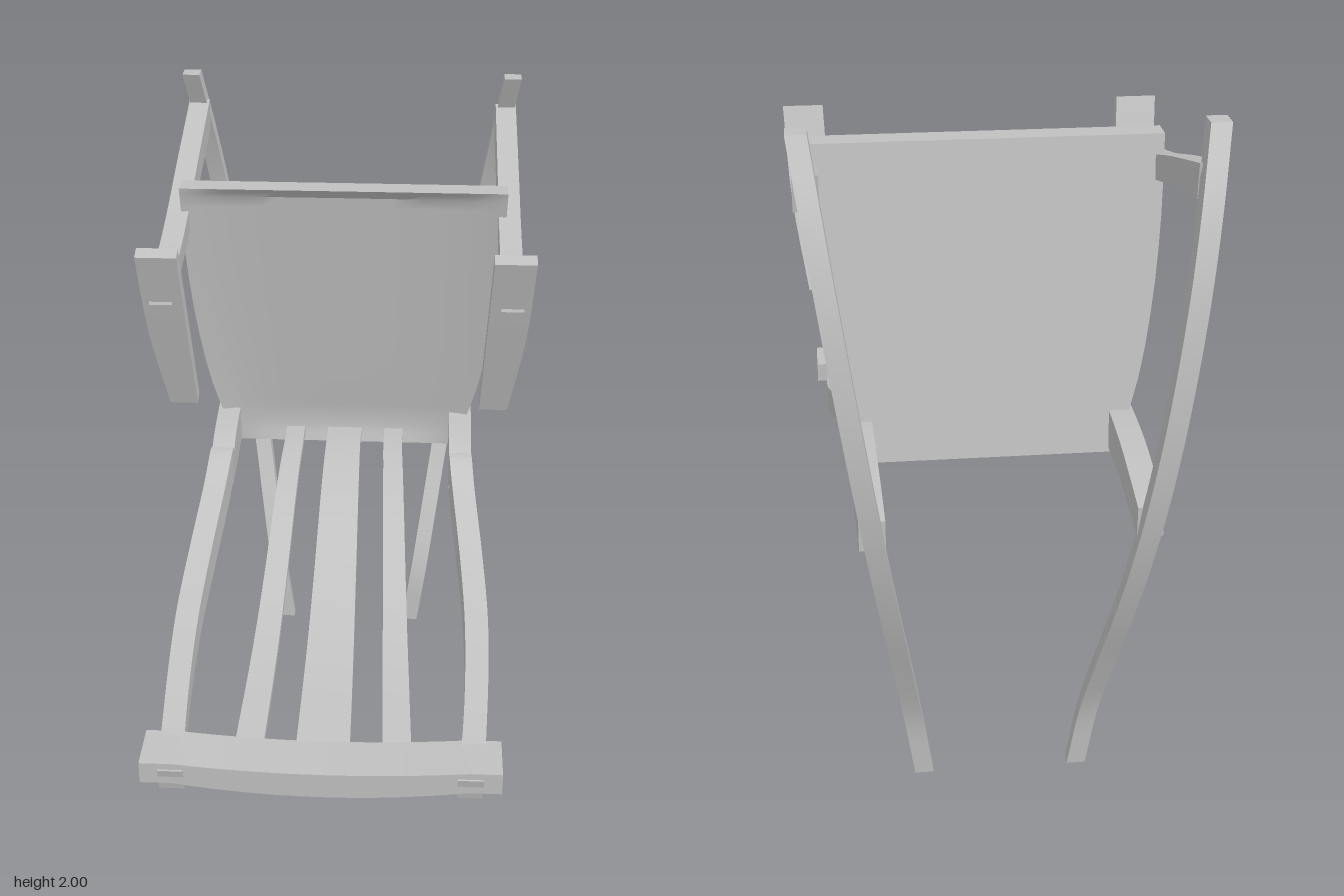
import * as THREE from 'three';
import { toCreasedNormals } from 'three/addons/utils/BufferGeometryUtils.js';

const wood = new THREE.MeshStandardMaterial({ color: 0xc0c0c0 });
wood.name = 'plain grey wood';
const V = (x, y, z) => new THREE.Vector3(x, y, z);

// Closed solid through a list of rings with equal point counts
function loft(rings) {
  const n = rings[0].length, pos = [], idx = [];
  rings.forEach(r => r.forEach(p => pos.push(p.x, p.y, p.z)));
  for (let i = 0; i < rings.length - 1; i++) {
    for (let j = 0; j < n; j++) {
      const a = i * n + j, b = i * n + (j + 1) % n;
      idx.push(a, b, a + n, b, b + n, a + n);
    }
  }
  const last = (rings.length - 1) * n;
  for (let j = 1; j < n - 1; j++) {
    idx.push(0, j + 1, j);
    idx.push(last, last + j, last + j + 1);
  }
  // Turn the faces outward if the enclosed volume is negative
  let volume = 0;
  const p = k => V(pos[3 * k], pos[3 * k + 1], pos[3 * k + 2]);
  for (let k = 0; k < idx.length; k += 3) {
    volume += p(idx[k]).dot(p(idx[k + 1]).cross(p(idx[k + 2])));
  }
  if (volume < 0) idx.reverse();
  const g = new THREE.BufferGeometry();
  g.setAttribute('position', new THREE.Float32BufferAttribute(pos, 3));
  g.setIndex(idx);
  return toCreasedNormals(g, 0.6);
}

// Curved bar of rectangular section; rows: [zA, yA, zB, yB, xInner, xOuter]
function bar(rows, side = 1) {
  const corner = (k, xi) => new THREE.CatmullRomCurve3(
    rows.map(r => V(side * r[xi], r[k + 1], r[k])), false, 'catmullrom');
  const curves = [corner(0, 4), corner(0, 5), corner(2, 5), corner(2, 4)];
  const steps = (rows.length - 1) * 4;
  const rings = [];
  for (let i = 0; i <= steps; i++) rings.push(curves.map(c => c.getPoint(i / steps)));
  return loft(rings);
}

export function createModel() {
  const model = new THREE.Group();
  const add = (name, geometry) => {
    const m = new THREE.Mesh(geometry, wood);
    m.name = name;
    model.add(m);
  };

  // Long bowed rockers, splayed outward with height
  const rocker = [
    [0, -0.665, -0.70], [0.2, -0.68, -0.72], [0.4, -0.745, -0.79],
    [0.6, -0.825, -0.87], [0.8, -0.89, -0.935], [1.0, -0.93, -0.978],
    [1.2, -0.945, -0.995], [1.4, -0.94, -0.988], [1.6, -0.91, -0.96],
    [1.8, -0.85, -0.905], [2.0, -0.765, -0.825],
  ].map(([y, front, back]) => {
    const x = 0.225 + 0.145 * y;
    return [front, y, back, y, x - 0.027, x + 0.027];
  });

  // Bowed stiles beside the slats
  const stile = [
    [0.99, 0.60, 0.975, 0.53, 0.37, 0.44],
    [0.80, 0.63, 0.80, 0.565, 0.385, 0.45],
    [0.60, 0.68, 0.60, 0.60, 0.392, 0.458],
    [0.40, 0.742, 0.40, 0.655, 0.39, 0.458],
    [0.20, 0.825, 0.20, 0.725, 0.375, 0.443],
    [0.00, 0.93, 0.01, 0.825, 0.352, 0.42],
    [-0.11, 0.993, -0.10, 0.89, 0.34, 0.41],
    [-0.15, 0.97, -0.13, 0.885, 0.34, 0.41],
  ];

  // Lower rails from the stiles to the rockers
  const rail = [
    [-0.13, 0.965, -0.10, 0.88, 0.34, 0.41],
    [-0.22, 1.00, -0.22, 0.887, 0.34, 0.41],
    [-0.40, 1.022, -0.40, 0.908, 0.34, 0.41],
    [-0.60, 1.025, -0.60, 0.92, 0.337, 0.408],
    [-0.78, 1.012, -0.78, 0.918, 0.333, 0.404],
    [-0.93, 0.995, -0.93, 0.908, 0.33, 0.40],
  ];

  // Upper rails between the rockers and the end boards
  const upperRail = [
    [-0.83, 1.90, -0.82, 1.805, 0.465, 0.53],
    [-0.50, 1.81, -0.50, 1.73, 0.465, 0.53],
    [-0.235, 1.732, -0.235, 1.662, 0.465, 0.53],
    [-0.02, 1.686, -0.02, 1.627, 0.465, 0.53],
    [0.15, 1.674, 0.17, 1.606, 0.465, 0.53],
  ];

  // Tilted boards that cap the upper rails
  const endBoard = [
    [0.212, 1.765, 0.172, 1.778, 0.44, 0.557],
    [0.135, 1.505, 0.095, 1.518, 0.43, 0.542],
    [0.055, 1.24, 0.012, 1.254, 0.42, 0.502],
  ];

  for (const [side, word] of [[1, 'left'], [-1, 'right']]) {
    add(word + 'Rocker', bar(rocker, side));
    add(word + 'Stile', bar(stile, side));
    add(word + 'LowerRail', bar(rail, side));
    add(word + 'UpperRail', bar(upperRail, side));
    add(word + 'EndBoard', bar(endBoard, side));
  }

  // Three S-curved slats, widening toward the crest
  const slatPath = [
    [0.88, 0.59], [0.6, 0.635], [0.4, 0.69], [0.2, 0.77],
    [0.0, 0.865], [-0.15, 0.922], [-0.26, 0.943], [-0.38, 0.945],
  ];
  const slat = (topIn, topOut, endIn, endOut) => slatPath.map(([z, y]) => {
    const t = THREE.MathUtils.clamp((z + 0.25) / 1.1, 0, 1);
    const a = THREE.MathUtils.lerp(topIn, endIn, t);
    const b = THREE.MathUtils.lerp(topOut, endOut, t);
    return [z, y, z, y - 0.025, a, b];
  });
  add('centreSlat', bar(slat(-0.055, 0.055, -0.075, 0.075)));
  add('leftSlat', bar(slat(0.13, 0.19, 0.165, 0.245)));
  add('rightSlat', bar(slat(0.13, 0.19, 0.165, 0.245), -1));

  // Crest rail with a gently bowed face
  const crest = new THREE.Shape();
  crest.moveTo(-0.49, 0.555);
  crest.lineTo(-0.40, 0.555);
  crest.quadraticCurveTo(0, 0.493, 0.40, 0.555);
  crest.lineTo(0.49, 0.555);
  crest.lineTo(0.49, 0.62);
  crest.lineTo(0.40, 0.62);
  crest.quadraticCurveTo(0, 0.58, -0.40, 0.62);
  crest.lineTo(-0.49, 0.62);
  const crestGeometry = new THREE.ExtrudeGeometry(crest, {
    depth: 0.145, bevelEnabled: false, curveSegments: 16,
  });
  crestGeometry.translate(0, 0, 0.84);
  add('crestRail', toCreasedNormals(crestGeometry, 0.6));

  // Tapered seat panel with a shallow dish in its front
  const outline = new THREE.CatmullRomCurve3([
    V(0.49, 1.81, 0), V(0.483, 1.58, 0), V(0.463, 1.35, 0),
    V(0.425, 1.12, 0), V(0.36, 0.90, 0),
  ]);
  const seatRings = [];
  const rows = [0, 0.015, 0.035, 0.07, 0.15, 0.25, 0.35, 0.45, 0.55, 0.65, 0.75, 0.85, 0.93, 0.97, 1];
  for (const t of rows) {
    const { x, y } = outline.getPoint(t);
    const fade = Math.min(1, t / 0.035) * Math.min(1, (1 - t) / 0.07);
    const ring = [];
    for (let i = 0; i <= 20; i++) {
      const u = i / 10 - 1;
      const dish = 0.026 * fade * (1 - u ** 4);
      ring.push(V(u * x, y, -0.228 - 0.135 * t - dish));
    }
    const back = -0.302 - 0.135 * t;
    ring.push(V(x, y, back), V(-x, y, back));
    seatRings.push(ring);
  }
  add('seat', loft(seatRings));

  return model;
}
